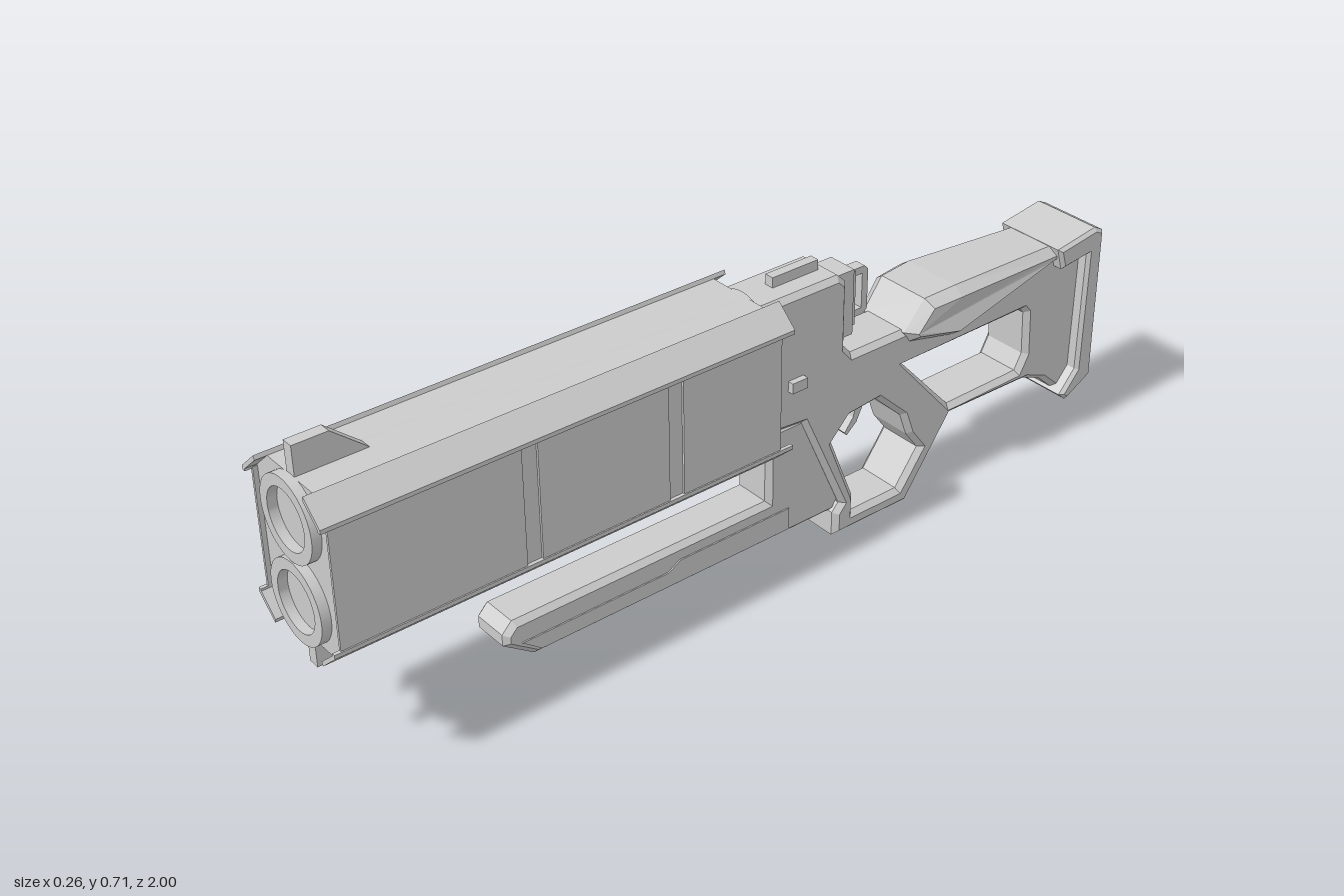
import * as THREE from 'three';
import { toCreasedNormals } from 'three/addons/utils/BufferGeometryUtils.js';

const flat = new THREE.MeshStandardMaterial({ color: 0xcccccc, flatShading: true });
const smooth = new THREE.MeshStandardMaterial({ color: 0xcccccc });
const vecs = (pts) => pts.map(([a, b]) => new THREE.Vector2(a, b));

export function createModel() {
  const model = new THREE.Group();

  function add(name, geometry, x = 0, y = 0, z = 0, material = flat) {
    const mesh = new THREE.Mesh(geometry, material);
    mesh.name = name;
    mesh.position.set(x, y, z);
    model.add(mesh);
    return mesh;
  }

  const box = (name, w, h, d, x, y, z) => add(name, new THREE.BoxGeometry(w, h, d), x, y, z);

  // Side profile in (z, y), extruded symmetrically across x, with chamfered edges
  function profile(pts, half, bevel = 0, holes = [], thick = bevel) {
    const shape = new THREE.Shape(vecs(pts));
    for (const h of holes) shape.holes.push(new THREE.Path(vecs(h)));
    const g = new THREE.ExtrudeGeometry(shape, {
      depth: 2 * (half - thick), bevelEnabled: bevel > 0, bevelSegments: 1,
      bevelSize: bevel, bevelThickness: thick, bevelOffset: -bevel,
    });
    g.translate(0, 0, -(half - thick));
    g.rotateY(-Math.PI / 2);
    return g;
  }

  // Cross-section in (x, y), extruded from z0 to z1
  function section(pts, z0, z1) {
    const g = new THREE.ExtrudeGeometry(new THREE.Shape(vecs(pts)), { depth: z1 - z0, bevelEnabled: false });
    g.translate(0, 0, z0);
    return g;
  }

  // Barrel housing
  add('barrelHousing', section([
    [-0.083, 0.3], [0.083, 0.3], [0.123, 0.338], [0.123, 0.607],
    [0.083, 0.646], [-0.083, 0.646], [-0.123, 0.607], [-0.123, 0.338],
  ], -0.03, 0.975));

  // Corner plates and side panels
  const midY = 0.474;
  for (const sx of [-1, 1]) {
    for (const sy of [-1, 1]) {
      const pts = [[0.083, 0.181], [0.131, 0.137], [0.131, 0.128], [0.123, 0.128], [0.123, 0.133], [0.08, 0.172]]
        .map(([x, y]) => [sx * x, midY + sy * y]);
      add('cornerPlate', section(pts, -0.06, 1));
    }
    for (const [z0, z1] of [[-0.03, 0.215], [0.25, 0.55], [0.585, 0.985]]) {
      box('sidePanel', 0.006, 0.262, z1 - z0, sx * 0.125, midY, (z0 + z1) / 2);
    }
  }

  // Two stacked barrels
  const barrel = new THREE.LatheGeometry(vecs([
    [0, -0.045], [0.075, -0.045], [0.087, -0.036], [0.087, 0.995],
    [0.063, 0.995], [0.063, 0.5], [0, 0.5],
  ]), 40);
  barrel.rotateX(Math.PI / 2);
  const barrelGeometry = toCreasedNormals(barrel, 0.5);
  for (const y of [0.562, 0.384]) add('barrel', barrelGeometry, 0, y, 0, smooth);

  // Front fins above and below the housing
  for (const s of [-1, 1]) {
    add('frontFin', profile(
      [[0.975, 0.15], [0.975, 0.238], [0.9, 0.238], [0.825, 0.175], [0.825, 0.15]]
        .map(([z, y]) => [z, midY + s * y]), 0.013));
  }

  // Receiver, trigger guard, grip and stock frame in one piece
  const guardHole = [
    [-0.235, 0.245], [-0.28, 0.292], [-0.36, 0.3], [-0.435, 0.23],
    [-0.455, 0.175], [-0.49, 0.128], [-0.43, 0.045], [-0.3, 0.045], [-0.3, 0.085],
  ];
  const stockHole = [
    [-0.43, 0.362], [-0.79, 0.362], [-0.8, 0.35], [-0.805, 0.245], [-0.785, 0.208], [-0.575, 0.205],
  ];
  add('receiverAndStockFrame', profile([
    [-0.03, 0.637], [-0.24, 0.637], [-0.263, 0.615], [-0.263, 0.465], [-0.282, 0.443],
    [-0.43, 0.443], [-0.55, 0.46], [-0.97, 0.49], [-0.97, 0.14], [-0.925, 0.105],
    [-0.87, 0.155], [-0.815, 0.177], [-0.58, 0.18], [-0.455, 0.003], [-0.245, 0.003],
    [-0.245, 0.06], [-0.262, 0.08], [-0.15, 0.325], [-0.03, 0.335],
  ], 0.063, 0.012, [guardHole, stockHole]));

  // Cheek rest, with its width varying along its length
  const cheek = profile([
    [-0.425, 0.44], [-0.477, 0.505], [-0.56, 0.51], [-0.86, 0.496],
    [-0.96, 0.478], [-0.86, 0.452], [-0.56, 0.392], [-0.44, 0.415],
  ], 0.095, 0.018, [], 0.025);
  const cp = cheek.attributes.position;
  for (let i = 0; i < cp.count; i++) {
    const z = cp.getZ(i);
    const k = z > -0.56 ? 1 - 0.9 * (z + 0.56) : 1 - 0.6 * (-0.56 - z);
    cp.setX(i, cp.getX(i) * k);
  }
  add('cheekRest', cheek);

  // Butt pad with forward lips at top and bottom
  add('buttPad', profile([
    [-0.86, 0.497], [-0.975, 0.515], [-1, 0.502], [-1, 0.135], [-0.925, 0.094],
    [-0.905, 0.112], [-0.95, 0.165], [-0.955, 0.455], [-0.875, 0.445],
  ], 0.092, 0.008));

  // Lower fore-end with its upright
  add('foreEnd', profile([
    [0.573, 0.162], [-0.065, 0.162], [-0.065, 0.335], [-0.16, 0.335],
    [-0.27, 0.09], [-0.25, 0.062], [0.525, 0.062], [0.596, 0.112], [0.596, 0.138],
  ], 0.052, 0.012));
  add('foreEndPanel', profile([
    [0.515, 0.076], [0.56, 0.11], [0.2, 0.11], [0.17, 0.128], [-0.12, 0.128], [-0.12, 0.076],
  ], 0.055));

  // Trigger
  add('trigger', profile([
    [-0.33, 0.31], [-0.365, 0.31], [-0.362, 0.265], [-0.345, 0.23],
    [-0.318, 0.207], [-0.312, 0.215], [-0.335, 0.245], [-0.342, 0.275],
  ], 0.012));

  // Top rail, side button and rear latch
  box('topRail', 0.022, 0.03, 0.12, 0, 0.645, -0.165);
  box('sideButton', 0.018, 0.024, 0.04, 0.068, 0.434, -0.125);
  box('latchBase', 0.07, 0.15, 0.045, 0, 0.546, -0.28);
  box('latchBlock', 0.05, 0.125, 0.02, 0, 0.546, -0.307);
  add('latchLoop', profile(
    [[-0.3, 0.604], [-0.352, 0.604], [-0.362, 0.594], [-0.362, 0.502], [-0.352, 0.492], [-0.3, 0.492]],
    0.013, 0, [[[-0.315, 0.588], [-0.346, 0.588], [-0.346, 0.508], [-0.315, 0.508]]]));

  return model;
}
